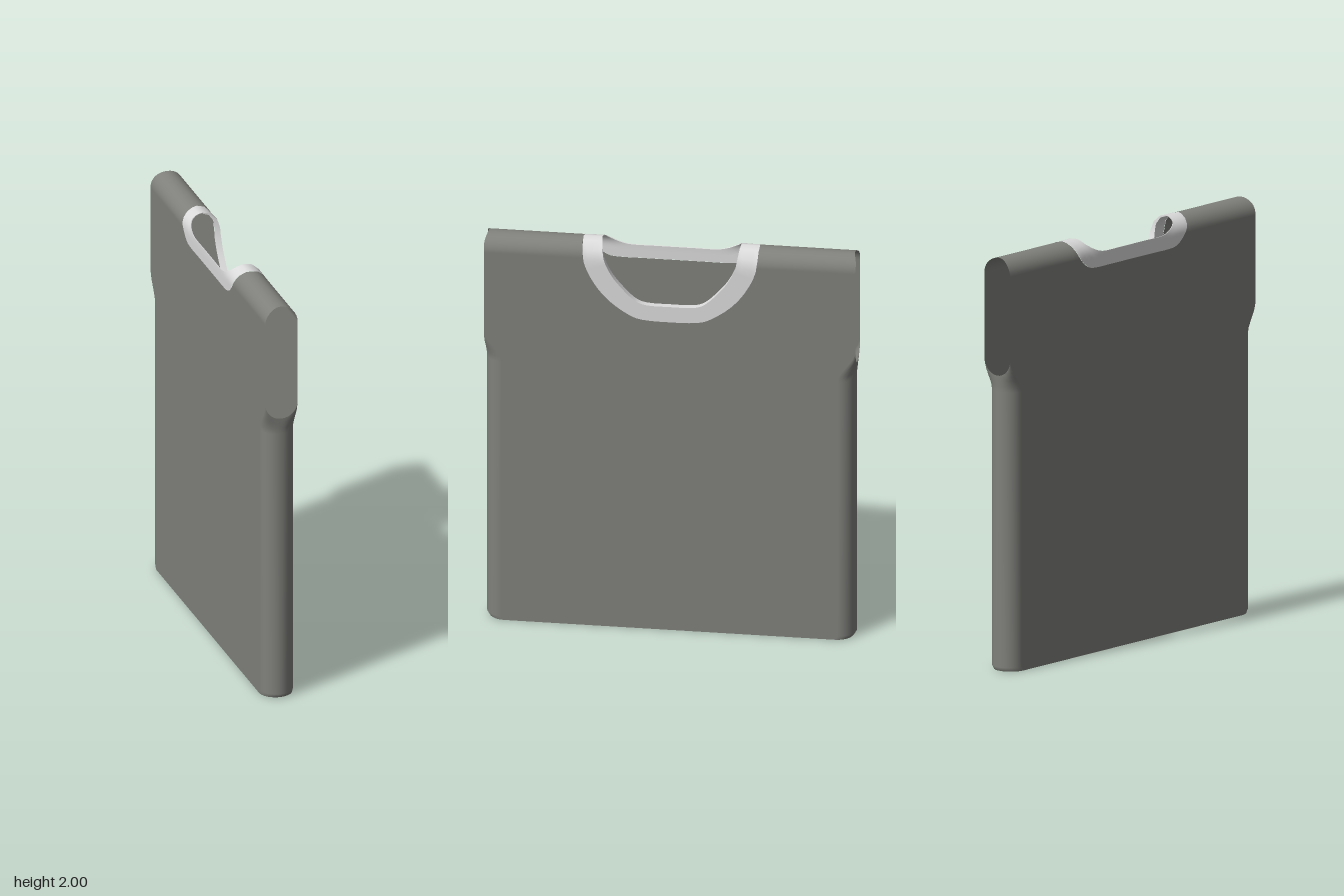
import * as THREE from 'three';
import { mergeGeometries, mergeVertices } from 'three/addons/utils/BufferGeometryUtils.js';

const R = 0.08;                       // half thickness and shoulder radius
const C = 1.918;                      // height where the shoulder starts to curve
const T = C + R * Math.PI / 2;        // unrolled height of the shoulder line
const ARM = 0.885, ARM_Y = 1.43, FLARE_Y = 1.35;

const smooth = (t) => THREE.MathUtils.smoothstep(t, 0, 1);

// Wraps unrolled height v over the shoulder; o pushes the point outwards
function wrap(side, z, v, o = 0, x = R) {
  const a = Math.max(0, (v - C) / R);
  return new THREE.Vector3(side * (x + o) * Math.cos(a), a > 0 ? C + (R + o) * Math.sin(a) : v, z);
}

// Mirrored smooth neckline in (z, unrolled height), running from -z to +z
function neckline(half) {
  const pts = half.map(([z, v]) => new THREE.Vector2(-z, v));
  const mirror = half.slice(0, -1).reverse().map(([z, v]) => new THREE.Vector2(z, v));
  return new THREE.SplineCurve([...pts, ...mirror]).getPoints(36);
}

const necks = [
  { side: 1, lip: 0.03,
    outer: neckline([[0.42, T], [0.41, 1.9], [0.36, 1.79], [0.29, 1.705], [0.2, 1.64], [0.13, 1.615], [0, 1.61]]),
    inner: neckline([[0.33, T], [0.315, 1.92], [0.28, 1.84], [0.235, 1.78], [0.17, 1.715], [0.11, 1.692], [0, 1.69]]) },
  { side: -1, lip: 0.004,
    outer: neckline([[0.42, T], [0.4, 1.96], [0.37, 1.91], [0.32, 1.87], [0.26, 1.86], [0.15, 1.86], [0, 1.86]]),
    inner: neckline([[0.33, T], [0.32, 1.99], [0.29, 1.96], [0.25, 1.94], [0.2, 1.93], [0.1, 1.93], [0, 1.93]]) },
];

// Surface from columns of points (columns towards +z, rows upwards)
function grid(columns, side, skip = () => false) {
  const n = columns[0].length, index = [];
  for (let c = 0; c < columns.length - 1; c++) {
    for (let r = 0; r < n - 1; r++) {
      if (skip(c, r)) continue;
      const a = c * n + r, b = a + n;
      if (side > 0) index.push(a, a + 1, b, b, a + 1, b + 1);
      else index.push(a, b, a + 1, b, b + 1, a + 1);
    }
  }
  const g = new THREE.BufferGeometry().setFromPoints(columns.flat());
  g.setIndex(index);
  return g;
}

function join(parts) {
  const g = mergeVertices(mergeGeometries(parts), 1e-5);
  g.computeVertexNormals();
  return g;
}

// One panel with its half of both side folds, cut out at neck and armholes
const rows = [0, 0.02, FLARE_Y, 1.38, 1.41, 1.43, 1.45, 1.47, 1.49, 1.51, 1.6, C];
const ARM_ROW = rows.indexOf(1.51);
for (let i = 1; i <= 8; i++) rows.push(C + (T - C) * i / 8);
const STEPS = 8;

function panel({ side, outer }) {
  // Side fold: angle 0 is the outermost line, a quarter turn meets the flat panel
  const fold = (k, sign) => {
    const a = k / STEPS * Math.PI / 2;
    const top = ARM_Y + R * (1 - Math.cos(a));
    const low = 0.8 + 0.08 * Math.cos(a);
    return rows.map((row) => {
      const v = k === STEPS ? row : Math.min(row, top);
      let z = low + (ARM - low) * smooth((v - FLARE_Y) / (top - FLARE_Y));
      z -= 0.012 * Math.max(0, 1 - v / 0.02) + 0.012 * smooth((v - 1.96) / 0.08);
      return wrap(side, sign * z, v, 0, k ? R * Math.sin(a) : 0);
    });
  };
  const columns = [];
  for (let k = 0; k <= STEPS; k++) columns.push(fold(k, -1));
  for (const p of outer) columns.push(rows.map((row) => wrap(side, p.x, Math.min(row, p.y))));
  for (let k = STEPS; k >= 0; k--) columns.push(fold(k, 1));
  const last = columns.length - 1;
  return grid(columns, side, (c, r) => r >= ARM_ROW && (c < STEPS || c >= last - STEPS));
}

// Flat ribbon round the neck
function band({ side, outer, inner }) {
  return grid(outer.map((p, i) => [0, 0.25, 0.5, 0.75, 1].map((t) => {
    const q = p.clone().lerp(inner[i], t);
    return wrap(side, q.x, q.y, 0.002);
  })), side);
}

// Turned-in edge of the ribbon, fading out at the shoulder line
function lip({ side, inner, lip: depth }) {
  return grid(inner.map((p) => {
    const d = depth * Math.min(1, Math.max(0.1, (T - p.y) / 0.15));
    return [wrap(side, p.x, p.y, 0.002), wrap(side, p.x, p.y, -d)];
  }), side);
}

export function createModel() {
  const make = (name, color) => {
    const m = new THREE.MeshStandardMaterial({ color, side: THREE.DoubleSide });
    m.name = name;
    return m;
  };
  const cloth = make('grey cloth', 0x80807c);
  const trim = make('light trim', 0xdcdcdc);

  const group = new THREE.Group();
  group.name = 'sleevelessTop';
  const add = (name, geometry, material) => {
    const mesh = new THREE.Mesh(geometry, material);
    mesh.name = name;
    group.add(mesh);
  };
  add('body', join(necks.map(panel)), cloth);
  add('neckBand', join(necks.map(band)), trim);
  add('neckLip', join(necks.map(lip)), trim);
  return group;
}
